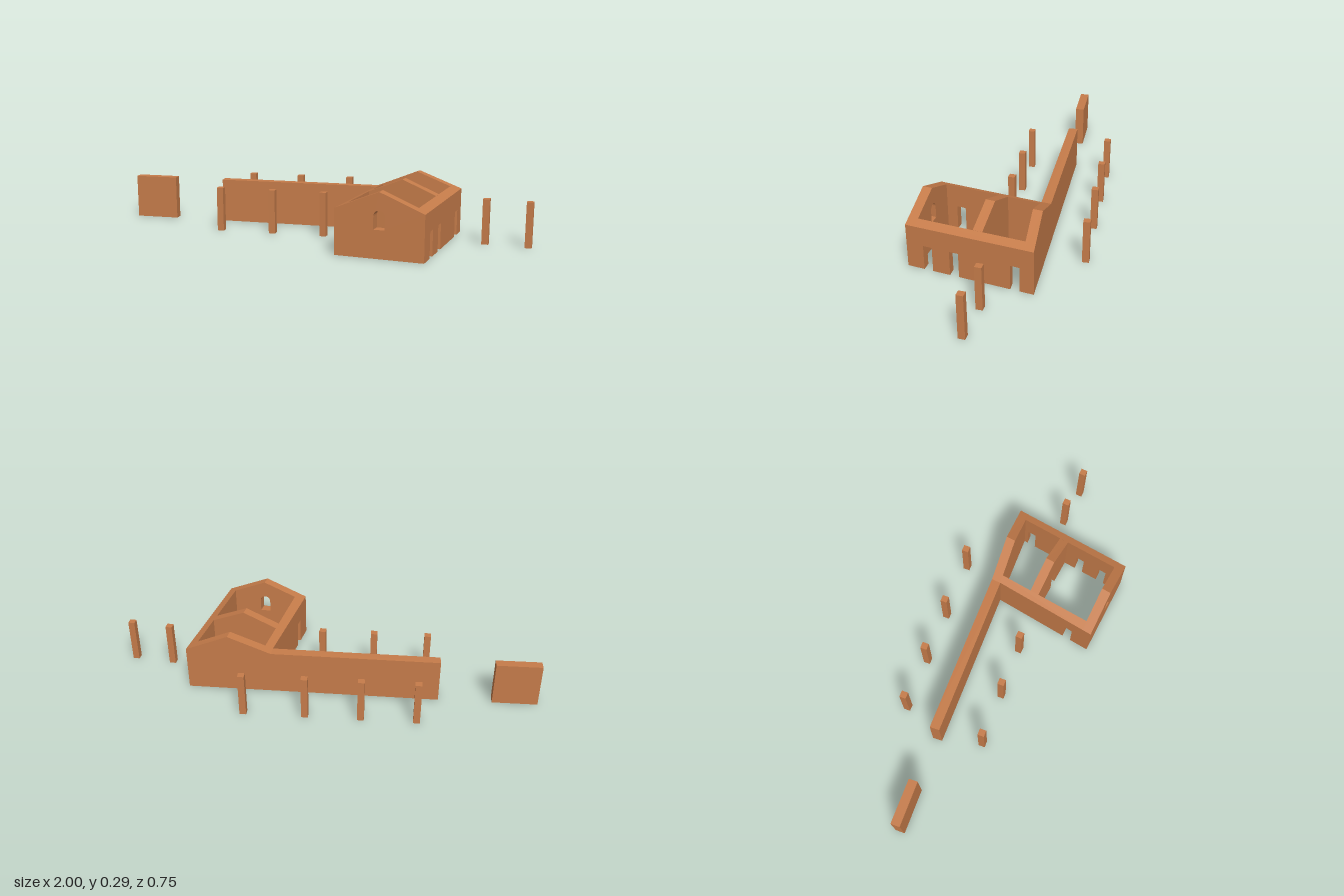
import * as THREE from 'three';

const EAVE = 0.21, RISE = 0.083, DOOR = 0.12;

// Height of the wall tops: a pitched roof line over the house, level elsewhere
function topHeight(x, z) {
  const ridgeX = 0.403 + (0.376 - z) * 0.072;
  return EAVE + RISE * Math.max(0, 1 - Math.abs(x - ridgeX) / 0.2);
}

export function createModel() {
  const group = new THREE.Group();
  const material = new THREE.MeshStandardMaterial({ color: 0xc67c4a, flatShading: true });
  const mix = (a, b, t) => a + (b - a) * t;

  function add(name, geometry) {
    const mesh = new THREE.Mesh(geometry, material);
    mesh.name = name;
    group.add(mesh);
    return mesh;
  }

  // Wall on a four-cornered plan. Face corners a, b run left to right seen from
  // the face; c, d lie behind them. The elevation is extruded, then fitted to the plan.
  function wall(name, a, b, c, d, { doors = [], stations = [], window: win } = {}) {
    const length = Math.hypot(b[0] - a[0], b[1] - a[1]);
    const faceTop = t => topHeight(mix(a[0], b[0], t), mix(a[1], b[1], t));
    const shape = new THREE.Shape();
    shape.moveTo(0, 0);
    for (const [s0, s1] of doors) {
      shape.lineTo(s0, 0);
      shape.lineTo(s0, DOOR);
      shape.lineTo(s1, DOOR);
      shape.lineTo(s1, 0);
    }
    shape.lineTo(length, 0);
    for (const t of [1, ...stations, 0]) shape.lineTo(t * length, faceTop(t));
    if (win) {
      const hole = new THREE.Path();
      hole.moveTo(win.s - win.r, win.y);
      hole.lineTo(win.s + win.r, win.y);
      hole.lineTo(win.s + win.r, win.spring);
      hole.absarc(win.s, win.spring, win.r, 0, Math.PI, false);
      hole.closePath();
      shape.holes.push(hole);
    }
    const geometry = new THREE.ExtrudeGeometry(shape, { depth: 1, bevelEnabled: false, curveSegments: 6 });
    const p = geometry.attributes.position;
    for (let i = 0; i < p.count; i++) {
      const t = p.getX(i) / length, depth = p.getZ(i);
      const x = mix(mix(c[0], d[0], t), mix(a[0], b[0], t), depth);
      const z = mix(mix(c[1], d[1], t), mix(a[1], b[1], t), depth);
      let y = p.getY(i);
      if (Math.abs(y - faceTop(t)) < 1e-4) y = topHeight(x, z);
      p.setXYZ(i, x, y, z);
    }
    geometry.computeVertexNormals();
    add(name, geometry);
  }

  // House
  wall('frontGableWall', [0.203, 0.376], [0.602, 0.376], [0.2065, 0.331], [0.605, 0.331],
    { stations: [0.501], window: { s: 0.2, r: 0.025, y: 0.128, spring: 0.187 } });
  wall('rightSideWall', [0.605, 0.331], [0.637, -0.171], [0.564, 0.331], [0.596, -0.167],
    { doors: [[0.035, 0.077], [0.159, 0.202], [0.441, 0.484]] });
  wall('leftSideWall', [0.243, -0.128], [0.2065, 0.331], [0.278, -0.131], [0.249, 0.331],
    { doors: [[0.368, 0.411]] });
  wall('crossWall', [0.264, 0.068], [0.58, 0.073], [0.266, 0.024], [0.583, 0.029],
    { doors: [[0.156, 0.199]], stations: [0.508] });

  // Long boundary wall, rising to the back gable of the house
  wall('longWall', [-0.533, -0.037], [0.637, -0.171], [-0.54, -0.082], [0.64, -0.216],
    { stations: [0.832, 0.663] });

  // Detached stretch of wall
  wall('detachedWall', [-0.993, 0.019], [-0.783, -0.008], [-0.999, -0.024], [-0.789, -0.05]);

  // Free-standing posts: x, z, turn
  const posts = [
    [-0.461, -0.263, 0.11], [-0.208, -0.294, 0.11], [0.046, -0.325, 0.11], [0.329, -0.36, 0.11],
    [-0.454, 0.141, 0.11], [-0.199, 0.11, 0.11], [0.048, 0.08, 0.03],
    [0.79, -0.034, 0.03], [0.983, -0.034, 0.03],
  ];
  for (const [x, z, turn] of posts) {
    const post = add('post', new THREE.BoxGeometry(0.031, EAVE, 0.031));
    post.position.set(x, EAVE / 2, z);
    post.rotation.y = turn;
  }
  return group;
}
